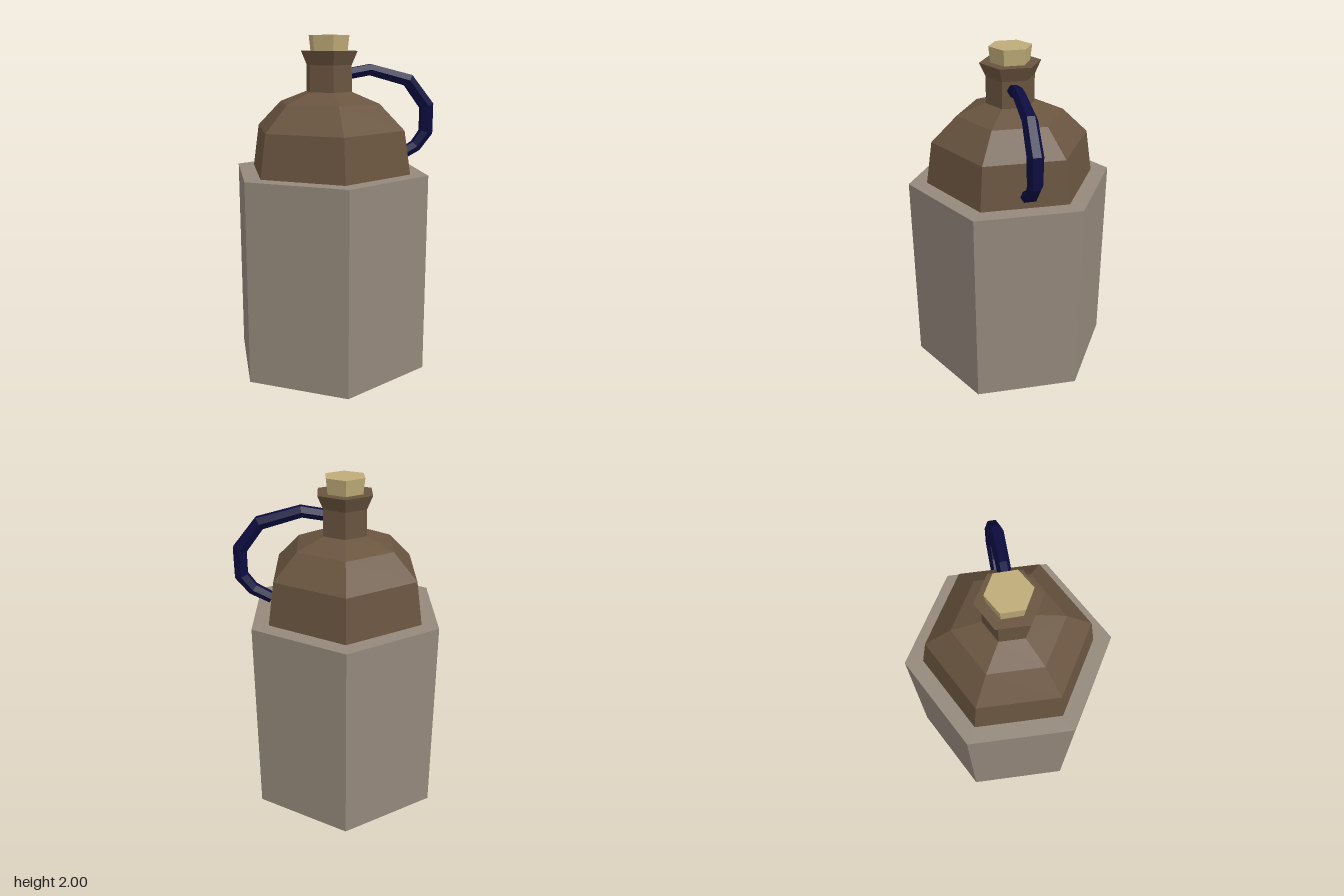
import * as THREE from 'three';

const SIDES = 6;
const TURN = THREE.MathUtils.degToRad(46.6);
const CENTER_X = -0.02;

function flat(name, color) {
  const m = new THREE.MeshStandardMaterial({ color, flatShading: true });
  m.name = name;
  return m;
}

// Faceted tube through rings { p: centre, r: radius }, lying in the plane spanned by up and `out`
function ringTube(rings, out) {
  const side = new THREE.Vector3().crossVectors(out, new THREE.Vector3(0, 1, 0)).normalize();
  const pos = [];
  const index = [];
  rings.forEach(({ p, r }, i) => {
    const prev = rings[Math.max(i - 1, 0)].p;
    const next = rings[Math.min(i + 1, rings.length - 1)].p;
    const tangent = next.clone().sub(prev).normalize();
    const normal = new THREE.Vector3().crossVectors(side, tangent).normalize();
    for (let k = 0; k < SIDES; k++) {
      const a = (k / SIDES) * Math.PI * 2;
      const v = p.clone()
        .addScaledVector(side, Math.cos(a) * r)
        .addScaledVector(normal, -Math.sin(a) * r);
      pos.push(v.x, v.y, v.z);
    }
  });
  for (let i = 0; i < rings.length - 1; i++) {
    for (let k = 0; k < SIDES; k++) {
      const a = i * SIDES + k;
      const b = i * SIDES + (k + 1) % SIDES;
      index.push(a, a + SIDES, b, b, a + SIDES, b + SIDES);
    }
  }
  // End caps
  const last = (rings.length - 1) * SIDES;
  for (let k = 1; k < SIDES - 1; k++) {
    index.push(0, k, k + 1, last, last + k + 1, last + k);
  }
  const g = new THREE.BufferGeometry();
  g.setAttribute('position', new THREE.Float32BufferAttribute(pos, 3));
  g.setIndex(index);
  g.computeVertexNormals();
  return g;
}

export function createModel() {
  const group = new THREE.Group();
  group.name = 'jug';
  const stone = flat('grey wrapping', 0x94887b);
  const brown = flat('brown clay', 0x69543f);
  const corkTan = flat('cork tan', 0xbfab78);
  const navy = flat('navy handle', 0x0c0c40);
  navy.side = THREE.DoubleSide;

  const add = (name, geometry, material, y = 0, turn = 0) => {
    const mesh = new THREE.Mesh(geometry, material);
    mesh.name = name;
    mesh.position.set(CENTER_X, y, 0);
    mesh.rotation.y = turn;
    group.add(mesh);
  };

  // Hexagonal outer casing
  add('casing', new THREE.CylinderGeometry(0.612, 0.612, 1.205, SIDES), stone, 0.6025, TURN);

  // Shoulders, neck and flared lip
  const profile = [
    [0.505, 1.2], [0.465, 1.46], [0.313, 1.61], [0.143, 1.675],
    [0.141, 1.83], [0.177, 1.91], [0, 1.91],
  ].map(([r, y]) => new THREE.Vector2(r, y));
  add('bottleBody', new THREE.LatheGeometry(profile, SIDES), brown, 0, TURN);

  // Stopper
  add('cork', new THREE.CylinderGeometry(0.125, 0.112, 0.11, SIDES), corkTan, 1.945, TURN + 0.035);

  // Curved handle: x, y, radius
  const rings = [
    [0.09, 1.777, 0.036], [0.22, 1.8, 0.038], [0.455, 1.735, 0.043], [0.573, 1.58, 0.046],
    [0.573, 1.42, 0.044], [0.51, 1.335, 0.039], [0.405, 1.275, 0.035],
  ].map(([x, y, r]) => ({ p: new THREE.Vector3(x - CENTER_X, y, 0.04 + (x - 0.12) * 0.2), r }));
  add('handle', ringTube(rings, new THREE.Vector3(1, 0, 0.2)), navy);

  return group;
}
